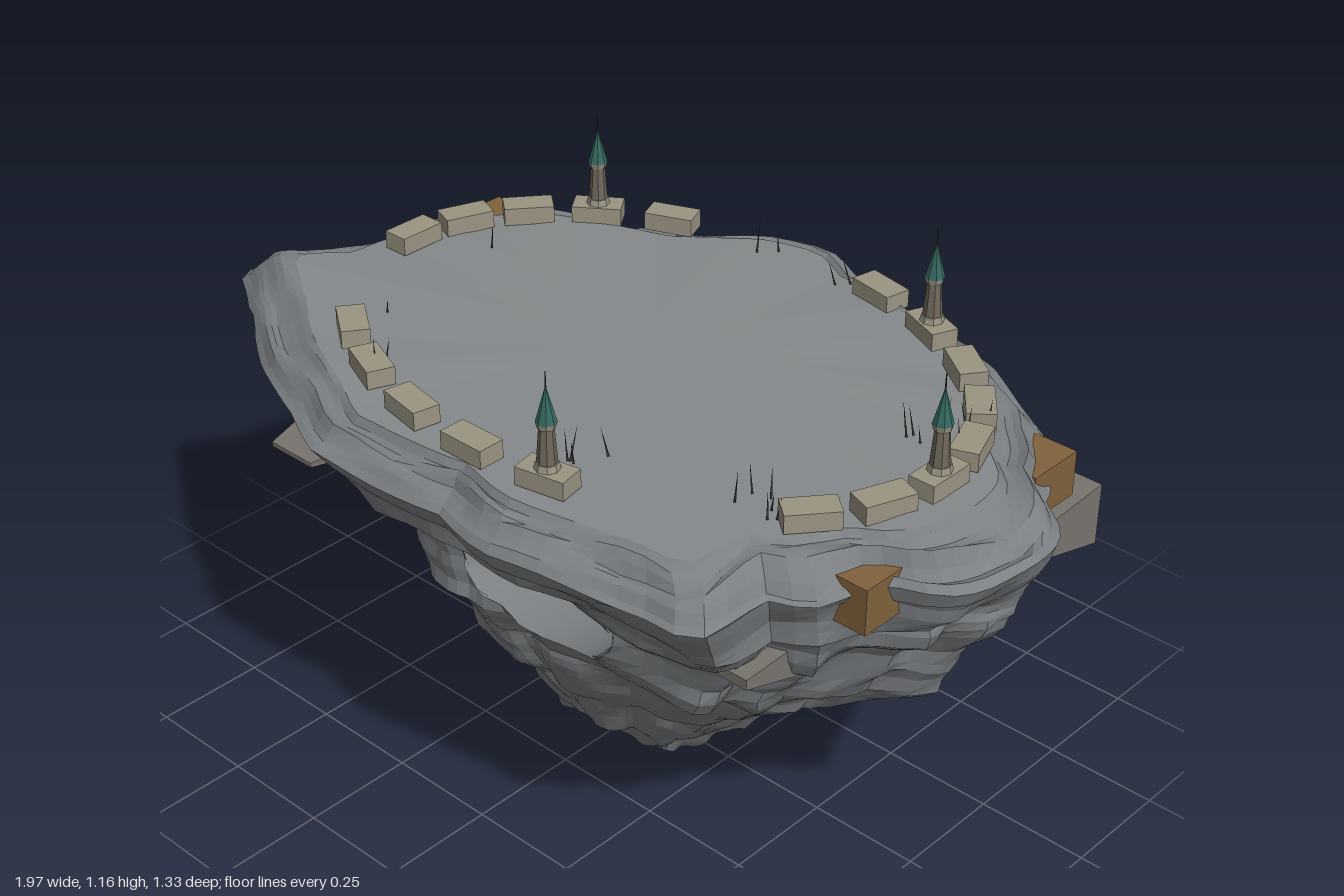
import * as THREE from 'three';

const SEG = 112, SUB = 4, PI2 = Math.PI * 2;
const mat = (color, extra = {}) => new THREE.MeshStandardMaterial({ color, flatShading: true, ...extra });
const lerp = THREE.MathUtils.lerp;

// Seeded value noise, periodic in u with n cells per turn
const hash = (i, j, s) => {
  const v = Math.sin(i * 127.1 + j * 311.7 + s * 74.7) * 43758.5453;
  return (v - Math.floor(v)) * 2 - 1;
};
function noise(u, v, n, s) {
  const a = u * n, i = Math.floor(a), j = Math.floor(v), f = a - i, g = v - j;
  const h = (p, q) => hash(((p % n) + n) % n, q, s);
  return lerp(lerp(h(i, j), h(i + 1, j), f), lerp(h(i, j + 1), h(i + 1, j + 1), f), g);
}

// Plan outline of the rim, (x, z)
const OUTLINE = [
  [.99, 0], [.98, .1], [.93, .2], [.82, .25], [.77, .38], [.69, .42], [.68, .6], [.55, .6], [.4, .63], [.2, .66],
  [.05, .62], [-.1, .64], [-.28, .65], [-.4, .59], [-.6, .5], [-.77, .38], [-.88, .32], [-1, .25], [-.89, .13],
  [-.88, 0], [-.85, -.1], [-.8, -.22], [-.7, -.33], [-.55, -.38], [-.35, -.48], [-.25, -.56], [-.15, -.64],
  [-.02, -.67], [.1, -.6], [.3, -.56], [.5, -.53], [.65, -.44], [.78, -.32], [.86, -.2], [.95, -.13],
].map(([x, z]) => ({ a: (Math.atan2(z / .67, x) + PI2) % PI2, r: Math.hypot(x, z / .67) })).sort((p, q) => p.a - q.a);

// Periodic linear lookup of key k in a list sorted by angle a
function lookup(list, a, k) {
  let i = list.findIndex(p => p.a > a);
  if (i < 0) i = 0;
  const q = list[i], p = list[(i + list.length - 1) % list.length];
  const span = (q.a - p.a + PI2) % PI2 || 1;
  return lerp(p[k], q[k], ((a - p.a + PI2) % PI2) / span);
}

// Heights with extents: y, -x, +x, -z, +z, outline weight, roughness
const LEVELS = [
  [.025, .25, .19, .16, .13, 0, .8], [.1, .26, .27, .22, .18, 0, 1], [.2, .3, .38, .28, .24, 0, 1],
  [.3, .32, .52, .34, .32, .1, 1], [.4, .39, .65, .39, .38, .2, 1], [.48, .46, .73, .42, .46, .3, 1],
  [.6, .53, .82, .47, .47, .4, 1], [.7, .59, .91, .53, .55, .6, .9], [.77, .77, .95, .61, .6, .8, .6],
  [.85, 1, 1, 1 * .67, .67, 1, .15], [.895, .93, .94, .61, .62, 1, .25], [.92, .85, .85, .57, .575, .9, .1],
];

function rockPoint(row, col) {
  const k = Math.min(Math.floor(row / SUB), LEVELS.length - 2), f = row / SUB - k;
  const [y, xn, xp, zn, zp, w, rough] = LEVELS[k].map((v, i) => lerp(v, LEVELS[k + 1][i], f));
  const u = (col % SEG) / SEG, a = u * PI2;
  const twist = (u + y * .04) % 1;
  // vertical ribs, broad bulges and stepped ledges
  const n = .085 * noise(twist, y * 2, 26, 1) + .05 * noise(twist, y * 3, 56, 2)
    + .07 * noise(u, y * 9, 14, 3) + .04 * noise(u, y * 22, 28, 4);
  const r = lerp(1, lookup(OUTLINE, a, 'r'), w) * (1 + n * rough);
  const c = Math.cos(a) * r, s = Math.sin(a) * r;
  const lift = (row < LEVELS.length * SUB - SUB ? .022 : .008) * noise(u, row * .6, 30, 5);
  return [c * (c < 0 ? xn : xp), Math.max(0, y + lift), s * (s < 0 ? zn : zp)];
}

function makeGeometry(pos, idx) {
  const g = new THREE.BufferGeometry();
  g.setAttribute('position', new THREE.Float32BufferAttribute(pos, 3));
  g.setIndex(idx);
  g.computeVertexNormals();
  return g;
}

// Elliptical archway running through the rock along z
const HOLE = { x: .115, y: .6, rx: .215, ry: .12 };

function buildRock(group, rock) {
  const rows = (LEVELS.length - 1) * SUB + 1, pts = [], tris = [], rim = new Map();
  for (let r = 0; r < rows; r++) for (let c = 0; c < SEG; c++) {
    const p = rockPoint(r, c), dx = (p[0] - HOLE.x) / HOLE.rx, dy = (p[1] - HOLE.y) / HOLE.ry;
    // points within the arch slide out to its edge
    if (dx * dx + dy * dy < 1) {
      const a = (Math.atan2(dy, dx) + PI2) % PI2;
      p[0] = HOLE.x + HOLE.rx * Math.cos(a);
      p[1] = HOLE.y + HOLE.ry * Math.sin(a);
      rim.set(pts.length, { a, z: p[2] });
    }
    pts.push(p);
  }
  const edge = new Set();
  const tri = (...t) => {
    if (t.every(i => rim.has(i))) return;
    t.forEach(i => rim.has(i) && edge.add(i));
    tris.push(...t);
  };
  for (let r = 0; r < rows - 1; r++) for (let c = 0; c < SEG; c++) {
    const a = r * SEG + c, b = r * SEG + (c + 1) % SEG;
    tri(a, a + SEG, b);
    tri(b, a + SEG, b + SEG);
  }
  // underside cap
  const base = pts.push([-.02, .04, 0]) - 1;
  for (let c = 0; c < SEG; c++) tri(base, c, (c + 1) % SEG);
  add(group, 'rockBody', makeGeometry(pts.flat(), tris), rock);

  // arch lining, joined to the front and back edges
  const ends = [-1, 1].map(s => [...edge].map(i => rim.get(i)).filter(p => p.z * s > 0).sort((p, q) => p.a - q.a));
  const N = 64, M = 6, tp = [], ti = [];
  for (let i = 0; i <= N; i++) {
    const a = (i % N) / N * PI2, z0 = lookup(ends[0], a, 'z'), z1 = lookup(ends[1], a, 'z');
    for (let j = 0; j <= M; j++) {
      tp.push(HOLE.x + HOLE.rx * Math.cos(a), HOLE.y + HOLE.ry * Math.sin(a), lerp(z0, z1, j / M));
      if (i < N && j < M) {
        const k = i * (M + 1) + j;
        ti.push(k, k + 1, k + M + 1, k + 1, k + M + 2, k + M + 1);
      }
    }
  }
  add(group, 'archLining', makeGeometry(tp, ti), mat(0x7b7f82, { flatShading: false, side: THREE.DoubleSide }));

  // plateau fan on the top ring
  const top = pts.slice((rows - 1) * SEG, rows * SEG), fan = [];
  for (let c = 0; c < SEG; c++) fan.push(SEG, (c + 1) % SEG, c);
  add(group, 'plateau', makeGeometry([...top, [0, .925, 0]].flat(), fan), mat(0x85898b, { flatShading: false }));
}

function add(parent, name, geo, material, x = 0, y = 0, z = 0, rotY = 0) {
  const m = new THREE.Mesh(geo, material);
  m.name = name;
  m.position.set(x, y, z);
  m.rotation.y = rotY;
  parent.add(m);
  return m;
}

// Box whose +z end narrows to a blunt edge
function wedge(w, h, d) {
  const g = new THREE.BoxGeometry(w, h, d), p = g.attributes.position;
  for (let i = 0; i < p.count; i++) if (p.getZ(i) > 0) p.setXY(i, p.getX(i) * .6, p.getY(i) * .25 - h * .05);
  g.computeVertexNormals();
  return g;
}

export function createModel() {
  const group = new THREE.Group();
  const rock = mat(0x7b7f82), stone = mat(0x9a9482), shaftMat = mat(0x6e685c);
  const roof = mat(0x35685f), boulder = mat(0x77726c), earth = mat(0x80613c), twig = mat(0x34372f);
  buildRock(group, rock);

  // broken ring wall with four turrets
  const gaps = [3, 4, 10, 11, 17, 18], turrets = [0, 5, 15, 20];
  const block = new THREE.BoxGeometry(.11, .04, .06);
  for (let i = 0; i < 24; i++) {
    if (gaps.includes(i)) continue;
    const a = i / 24 * PI2, x = .03 + .72 * Math.cos(a), z = .51 * Math.sin(a);
    const yaw = Math.atan2(-.51 * Math.cos(a), -.72 * Math.sin(a));
    add(group, 'wallBlock', block, stone, x, .94, z, yaw);
    if (!turrets.includes(i)) continue;
    const t = new THREE.Group();
    t.name = 'turret';
    t.position.set(x, .96, z);
    add(t, 'turretFoot', new THREE.CylinderGeometry(.023, .026, .014, 8), stone, 0, .007);
    add(t, 'turretShaft', new THREE.CylinderGeometry(.015, .021, .08, 8), shaftMat, 0, .05);
    add(t, 'turretCollar', new THREE.CylinderGeometry(.021, .018, .012, 8), stone, 0, .094);
    add(t, 'turretRoof', new THREE.ConeGeometry(.021, .078, 8), roof, 0, .139);
    add(t, 'turretFinial', new THREE.CylinderGeometry(.001, .002, .04, 5), twig, 0, .187);
    group.add(t);
  }

  // boulders under the rim: x, y, z, width, height, depth, yaw
  [
    [-.43, .755, .5, .2, .04, .17, 0], [-.22, .67, .43, .16, .06, .14, .3],
    [-.76, .74, -.17, .17, .08, .17, -1.4], [-.45, .73, -.42, .22, .1, .18, 0],
    [.45, .71, -.49, .15, .12, .15, 2.9], [.75, .69, -.3, .17, .14, .27, 0],
    [.61, .645, .34, .14, .09, .16, 0], [.1, .78, -.53, .14, .08, .14, 2.8],
  ].forEach(([x, y, z, w, h, d, yaw]) => add(group, 'boulder', wedge(w, h, d), boulder, x, y, z, yaw));

  // earth blocks lodged in the sides
  for (const [x, z, d] of [[.775, -.27, .135], [.775, .25, .11], [-.725, -.275, .13], [-.725, .245, .11]])
    add(group, 'earthBlock', new THREE.BoxGeometry(.11, .1, d), earth, x, .83, z);

  // dry stalks in loose clumps: x, z, count, spread
  const stalk = new THREE.ConeGeometry(.003, 1, 4).translate(0, .5, 0);
  [[.65, -.17, 9, .07], [.54, .25, 6, .07], [.18, .38, 5, .05], [-.5, .25, 1, 0], [-.36, .4, 3, .04],
    [-.55, -.1, 1, 0], [-.1, -.5, 2, .03], [.13, -.49, 2, .04]].forEach(([x, z, n, s], k) => {
    for (let i = 0; i < n; i++) {
      const m = add(group, 'stalk', stalk, twig, x + s * hash(i, k, 7), .92, z + s * hash(i, k, 8));
      m.scale.y = .06 + .025 * hash(i, k, 9);
      m.rotation.set(.2 * hash(i, k, 10), 0, .25 * hash(i, k, 11));
    }
  });
  return group;
}
